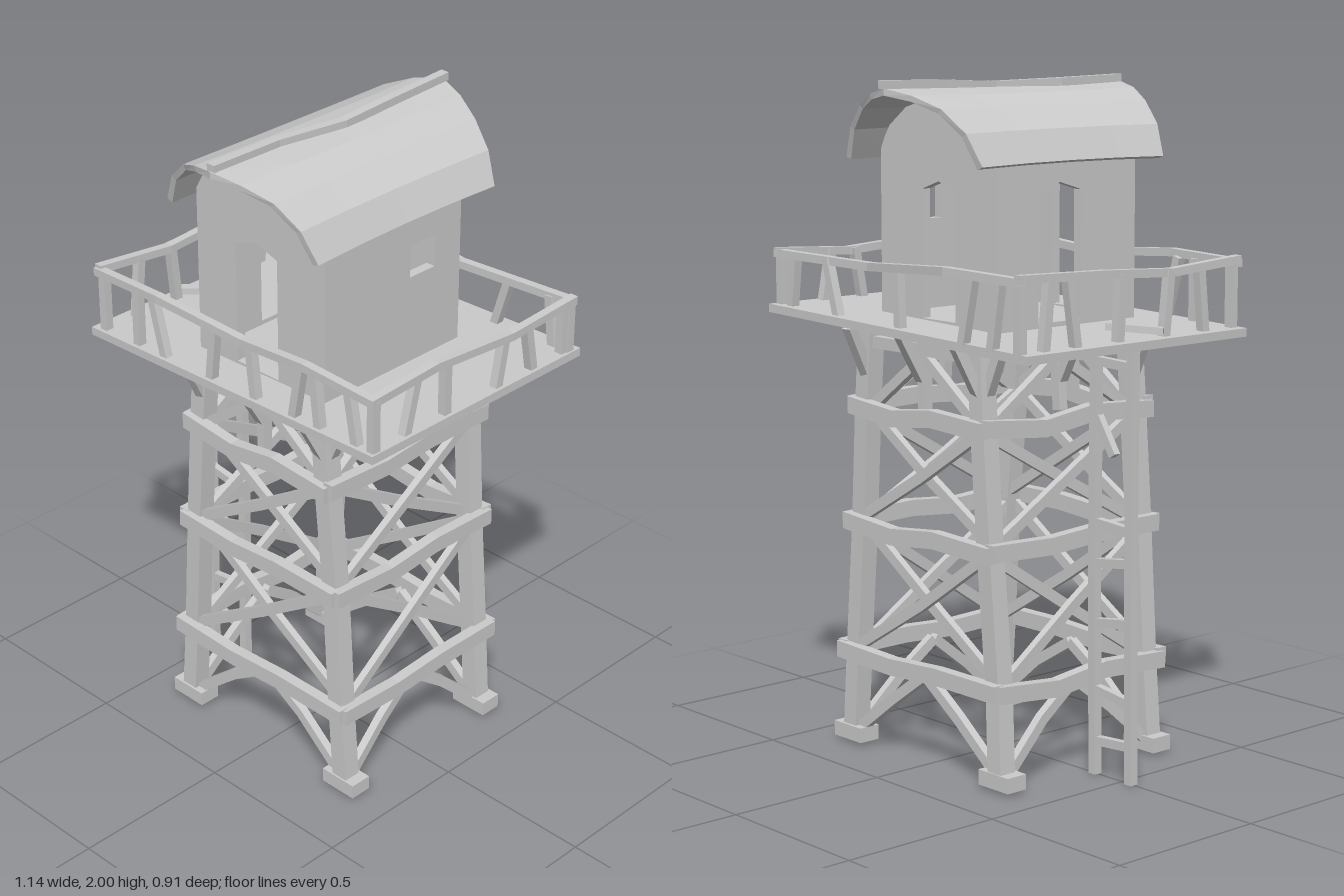
import * as THREE from 'three';

const V = (x, y, z) => new THREE.Vector3(x, y, z);
const mat = new THREE.MeshStandardMaterial({ color: 0xcccccc, flatShading: true, side: THREE.DoubleSide });

export function createModel() {
  const model = new THREE.Group();
  const add = (name, geo) => {
    geo.computeVertexNormals();
    const mesh = new THREE.Mesh(geo, mat);
    mesh.name = name;
    model.add(mesh);
    return mesh;
  };

  // Rectangular timber following a list of points; w = sideways, h = upwards
  const beam = (name, pts, w, h = w) => {
    const n = pts.length - 1;
    const dir = pts[n].clone().sub(pts[0]).normalize();
    const ref = Math.abs(dir.y) > 0.9 ? V(0, 0, 1) : V(0, 1, 0);
    const side = ref.clone().cross(dir).normalize();
    const up = dir.clone().cross(side);
    const geo = new THREE.BoxGeometry(w, h, 1, 1, 1, n);
    const p = geo.attributes.position;
    for (let i = 0; i < p.count; i++) {
      const c = pts[Math.round((p.getZ(i) + 0.5) * n)].clone();
      c.addScaledVector(side, p.getX(i)).addScaledVector(up, p.getY(i));
      p.setXYZ(i, c.x, c.y, c.z);
    }
    return add(name, geo);
  };

  // Small repeatable wobble for the crooked timber
  let seed = 7;
  const wob = (a) => {
    seed = (seed * 16807) % 2147483647;
    return (seed / 2147483647 - 0.5) * 2 * a;
  };

  const legX = (y) => 0.335 - 0.075 * y;
  const zc = -0.02, legZ = 0.29;
  const floorY = (x) => 1.30 + 0.018 * x / 0.57;

  // Legs and feet
  for (const sx of [-1, 1]) for (const sz of [-1, 1]) {
    const z = zc + sz * legZ;
    beam('leg', [0.03, 0.29, 0.69, 1.04, 1.28].map((y) => V(sx * legX(y), y, z + wob(0.005))), 0.055, 0.055);
    add('foot', new THREE.BoxGeometry(0.125, 0.045, 0.07)).position.set(sx * 0.33, 0.038, z);
  }

  // The four sides of the tower: point at s (-1..1) along the side, height y, offset outwards
  const sides = [
    (s, y, o = 0) => V(s * legX(y), y, zc + legZ + o),
    (s, y, o = 0) => V(-s * legX(y), y, zc - legZ - o),
    (s, y, o = 0) => V(legX(y) + o, y, zc - s * legZ),
    (s, y, o = 0) => V(-legX(y) - o, y, zc + s * legZ),
  ];
  const levels = [0.29, 0.69, 1.04];
  for (const at of sides) {
    for (const y of levels) {
      const ends = 1.13, d = wob(0.008);
      beam('crossBeam', [-ends, -0.35, 0.3, ends].map((s, i) => {
        const p = at(s, y, 0.035);
        p.y += [0.005, -0.01, 0.008, 0][i] + d * (i % 2);
        return p;
      }), 0.035, 0.05);
    }
    beam('topBeam', [at(-0.95, 1.235), at(0.95, 1.235)], 0.035, 0.035);
    for (const s of [-1, 1]) {
      // X braces in the two middle bays
      for (let i = 0; i < 2; i++) {
        const y0 = levels[i] + 0.02, y1 = levels[i + 1] - 0.02;
        const mid = at(0, (y0 + y1) / 2 + wob(0.008), s * 0.012);
        beam('crossBrace', [at(-0.95 * s, y0, s * 0.012), mid, at(0.95 * s, y1, s * 0.012)], 0.022, 0.032);
      }
      // Inverted V braces at foot and top
      beam('footBrace', [at(s * 0.93, 0.05), at(s * 0.45, 0.18 + wob(0.01)), at(0, 0.275)], 0.025, 0.032);
      beam('topBrace', [at(s * 0.88, 1.05), at(0, 1.215)], 0.025, 0.03);
      // Struts fanning out to the platform
      const low = at(s * 0.98, 1.13, 0.01), high = at(s * 0.98, 1.285, 0.09);
      beam('platformStrut', [low, high], 0.03);
    }
    beam('platformStrut', [at(0, 1.15, 0.01), at(0, 1.285, 0.09)], 0.03);
    beam('centrePost', [at(0, 1.06), at(0, 1.28)], 0.03);
  }

  // Slightly tilted platform
  const deck = add('platform', new THREE.BoxGeometry(1.14, 0.025, 0.855));
  deck.position.set(0, 1.293, -0.008);
  deck.rotation.z = Math.atan(0.018 / 0.57);

  // Railing: bent handrails and crooked posts
  const rails = [
    [V(-0.55, 1.475, 0.405), V(-0.28, 1.485, 0.41), V(0.05, 1.465, 0.395), V(0.3, 1.485, 0.4), V(0.56, 1.475, 0.4)],
    [V(-0.54, 1.48, -0.425), V(-0.25, 1.49, -0.445), V(0.15, 1.465, -0.385), V(0.56, 1.475, -0.41)],
    [V(0.55, 1.475, 0.41), V(0.545, 1.485, 0.15), V(0.55, 1.465, -0.15), V(0.55, 1.48, -0.42)],
    [V(-0.54, 1.485, 0.41), V(-0.525, 1.465, 0.15), V(-0.53, 1.48, -0.12), V(-0.535, 1.49, -0.44)],
  ];
  rails.forEach((r) => beam('handrail', r, 0.026, 0.024));
  const post = (x, z, dx = 0, dz = 0) =>
    beam('railPost', [V(x, floorY(x), z), V(x + dx, 1.475, z + dz)], 0.026);
  const frontPosts = [[-0.53, 0], [-0.385, 0], [-0.27, -0.05], [-0.08, 0.02], [0.1, -0.02], [0.25, 0.03], [0.35, -0.02], [0.49, -0.03], [0.55, 0]];
  frontPosts.forEach(([x, dx]) => post(x, 0.395, dx));
  [[-0.53, 0], [-0.42, -0.03], [-0.3, -0.04], [0, 0.01], [0.28, 0.05], [0.5, -0.02], [0.55, 0]]
    .forEach(([x, dx]) => post(x, x < -0.2 ? -0.425 : -0.4, dx));
  [[0.27, -0.04], [0.11, 0], [-0.1, -0.03], [-0.25, 0.03], [-0.38, 0]].forEach(([z, dz]) => post(0.545, z, 0, dz));
  [[0.28, -0.02], [0.12, 0.02], [-0.06, 0.01], [-0.22, -0.03], [-0.34, 0.02]].forEach(([z, dz]) => post(-0.53, z, 0, dz));
  beam('loosePlank', [V(-0.545, 1.305, 0.105), V(-0.415, 1.315, 0.005)], 0.028, 0.02);

  // Ladder with crooked and missing rungs
  for (const x of [-0.535, -0.388]) {
    beam('ladderRail', [V(x, 0.005, 0), V(x + 0.003, 0.6, -0.004), V(x + 0.004, 1.285, 0)], 0.027);
  }
  [[0.115, 0.105], [0.24, 0.26], [0.475, 0.455], [0.65, 0.63], [0.74, 0.75], [1.21, 1.215]].forEach(([a, b]) =>
    beam('ladderRung', [V(-0.535, a, 0), V(-0.388, b, 0)], 0.022, 0.026));
  beam('brokenRung', [V(-0.46, 0.95, 0), V(-0.392, 1.055, 0)], 0.022, 0.026);

  // Cabin walls, extruded with their openings
  const x0 = -0.24, x1 = 0.265, z0 = -0.25, z1 = 0.29, t = 0.03;
  const outline = (pts) => pts.map(([x, y]) => new THREE.Vector2(x, y));
  const doorway = (a, b) => new THREE.Path(outline([[a, 1.312], [b, 1.312], [b, 1.685], [(a + b) / 2, 1.71], [a, 1.685]]));
  const wall = (name, pts, hole) => {
    const shape = new THREE.Shape(outline(pts));
    shape.holes.push(hole);
    return add(name, new THREE.ExtrudeGeometry(shape, { depth: t, bevelEnabled: false }));
  };
  const gable = [[x0, 1.285], [x1, 1.285], [x1, 1.8], [0.225, 1.86], [0.15, 1.915], [0.01, 1.955], [-0.13, 1.915], [-0.205, 1.86], [x0, 1.8]];
  wall('frontWall', gable, doorway(-0.085, 0.08)).position.z = z1 - t;
  wall('backWall', gable, doorway(-0.065, 0.08)).position.z = z0;
  // Side walls are drawn with horizontal axis = -z, then turned to face x
  const plain = [[-z1 + t, 1.285], [-z0 - t, 1.285], [-z0 - t, 1.81], [-z1 + t, 1.81]];
  const windowHole = new THREE.Path(outline([[0.045, 1.58], [0.145, 1.58], [0.145, 1.68], [0.045, 1.68]]));
  const leftWall = wall('leftWall', plain, windowHole);
  leftWall.rotation.y = Math.PI / 2;
  leftWall.position.x = x1 - t;
  const rightWall = wall('rightWall', plain, doorway(-0.075, 0.09));
  rightWall.rotation.y = Math.PI / 2;
  rightWall.position.x = x0;

  // Arched roof: x, height and half length across the width
  const profile = [[-0.295, 1.77, 0.35], [-0.25, 1.86, 0.37], [-0.175, 1.925, 0.395], [-0.09, 1.96, 0.43], [0, 1.978, 0.455],
    [0.09, 1.96, 0.43], [0.18, 1.925, 0.395], [0.255, 1.86, 0.37], [0.3, 1.77, 0.35]];
  const n = profile.length - 1;
  const roof = new THREE.BoxGeometry(1, 1, 2, n, 1, 4);
  const p = roof.attributes.position;
  for (let i = 0; i < p.count; i++) {
    const [x, y, len] = profile[Math.round((p.getX(i) + 0.5) * n)];
    const z = p.getZ(i), inner = p.getY(i) < 0;
    const sag = 0.012 * (1 - z * z);
    const eave = Math.abs(x) / 0.3;
    p.setXYZ(i, x * (inner ? 0.93 : 1) * (1 - 1.5 * sag * eave),
      y - (inner ? 0.02 - 0.013 * eave : 0) + sag * (eave - 0.6), z * len);
  }
  add('roof', roof);
  beam('ridgeBeam', [V(0.005, 1.988, -0.458), V(0.015, 1.984, -0.22), V(0.018, 1.975, -0.03), V(-0.01, 1.98, 0.2), V(-0.004, 1.985, 0.45)], 0.028, 0.024);

  return model;
}
